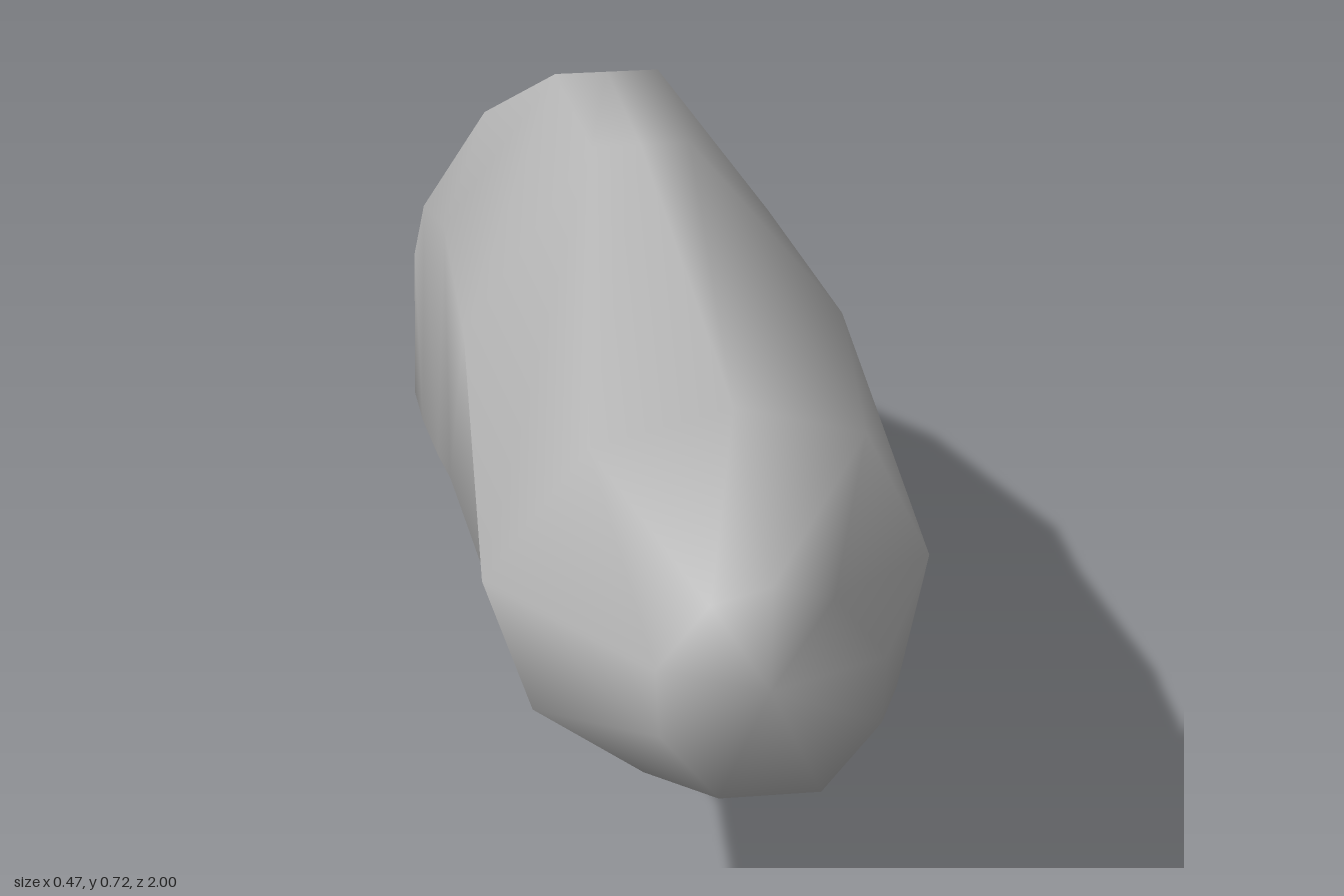
import * as THREE from 'three';

// Half outlines [x, y, z] from the top centre round the +x side to the bottom edge,
// ordered from the front face to the tail.
const SECTIONS = [
  [[0, 0.57, 1], [0.06, 0.555, 1], [0.112, 0.49, 1], [0.108, 0.42, 1], [0.05, 0.35, 1]],
  [[0, 0.66, 0.77], [0.14, 0.612, 0.74], [0.234, 0.42, 0.62], [0.19, 0.3, 0.68], [0.075, 0.22, 0.68]],
  [[0, 0.722, 0.15], [0.055, 0.722, 0.15], [0.21, 0.55, 0.25], [0.232, 0.4, 0.3], [0.074, 0.14, 0.15]],
  [[0, 0.72, -0.12], [0.06, 0.72, -0.12], [0.192, 0.54, -0.12], [0.203, 0.25, -0.12], [0.072, 0.1, -0.12]],
  [[0, 0.58, -0.5], [0.1, 0.55, -0.5], [0.178, 0.43, -0.5], [0.184, 0.14, -0.5], [0.07, 0.042, -0.5]],
  [[0, 0.4, -0.79], [0.1, 0.37, -0.79], [0.163, 0.26, -0.79], [0.168, 0.07, -0.77], [0.066, 0, -0.77]],
  [[0, 0.31, -0.93], [0.08, 0.29, -0.93], [0.15, 0.21, -0.91], [0.14, 0.09, -0.87], [0.06, 0.015, -0.85]],
  [[0, 0.25, -0.968], [0.05, 0.24, -0.968], [0.1, 0.2, -0.975], [0.08, 0.14, -0.95], [0.03, 0.13, -0.943]],
];

// Loft through mirrored rings, closed at both ends by a fan
function loft(sections, frontCentre, backCentre) {
  const rings = sections.map((half) => [
    ...half.map(([x, y, z]) => [-x, y, z]),
    ...half.slice(1).reverse(),
  ]);
  const n = rings[0].length;
  const points = rings.flat();
  const front = points.push(frontCentre) - 1;
  const back = points.push(backCentre) - 1;
  const last = (rings.length - 1) * n;
  const index = [];
  for (let j = 0; j < n; j++) {
    const k = (j + 1) % n;
    for (let i = 0; i < last; i += n) {
      index.push(i + j, i + n + j, i + k, i + k, i + n + j, i + n + k);
    }
    index.push(front, j, k, back, last + k, last + j);
  }
  const geometry = new THREE.BufferGeometry();
  geometry.setAttribute('position', new THREE.Float32BufferAttribute(points.flat(), 3));
  geometry.setIndex(index);
  geometry.computeVertexNormals();
  return geometry;
}

export function createModel() {
  const group = new THREE.Group();
  group.name = 'smoothPod';

  const grey = new THREE.MeshStandardMaterial({ color: 0xb4b4b4 });
  grey.name = 'grey';

  // Single smooth tapering shell
  const body = new THREE.Mesh(loft(SECTIONS, [0, 0.46, 1], [0, 0.2, -1]), grey);
  body.name = 'body';
  group.add(body);
  return group;
}
